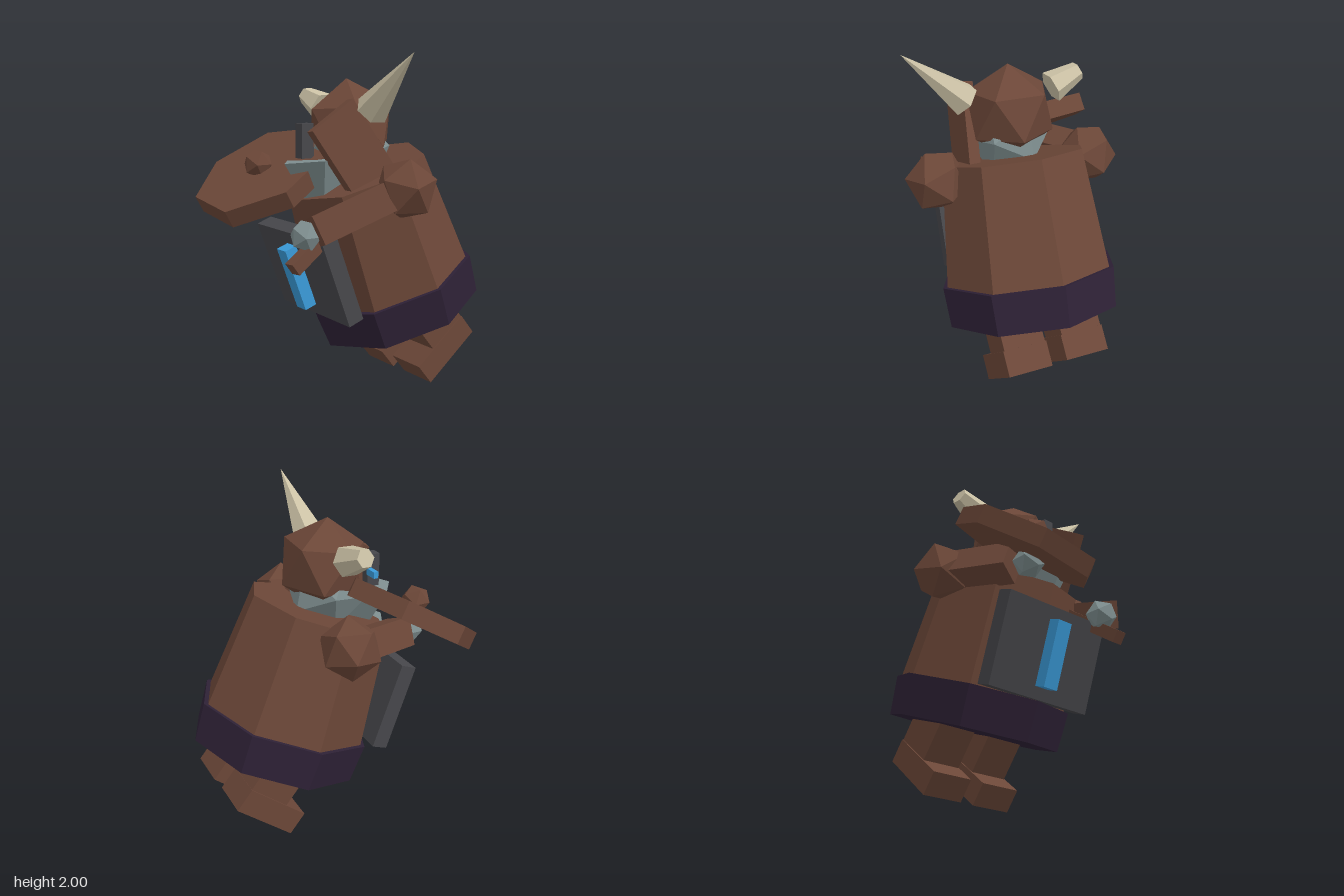
import * as THREE from 'three';

const mat = (name, color) => {
  const m = new THREE.MeshStandardMaterial({ color });
  m.name = name;
  return m;
};
const V = (x, y, z) => new THREE.Vector3(x, y, z);
const UP = V(0, 1, 0);

// Faceted copy of a geometry
function facet(g) {
  const f = g.index ? g.toNonIndexed() : g;
  f.computeVertexNormals();
  return f;
}

export function createModel() {
  const brown = mat('leather brown', 0x6c4738);
  const purple = mat('dark purple', 0x2e2136);
  const iron = mat('dark iron', 0x47474b);
  const blue = mat('bright blue', 0x3a9bd9);
  const grey = mat('grey skin', 0x7f8f90);
  const horn = mat('horn', 0xcbc1a5);

  const model = new THREE.Group();
  model.name = 'hornedWarrior';

  const add = (parent, name, geo, material, p = [0, 0, 0], r = [0, 0, 0]) => {
    const m = new THREE.Mesh(facet(geo), material);
    m.name = name;
    m.position.set(...p);
    m.rotation.set(...r);
    parent.add(m);
    return m;
  };
  const box = (x, y, z) => new THREE.BoxGeometry(x, y, z);
  const tube = (rTop, rBottom, h, n, start = 0) =>
    new THREE.CylinderGeometry(rTop, rBottom, h, n, 1, false, start);
  const rock = (r) => new THREE.IcosahedronGeometry(r, 0);
  // Place a y-aligned geometry between two points
  const between = (name, a, b, makeGeo, material) => {
    const d = b.clone().sub(a);
    const m = add(model, name, makeGeo(d.length()), material);
    m.position.copy(a).addScaledVector(d, 0.5);
    m.quaternion.setFromUnitVectors(UP, d.normalize());
    return m;
  };
  // Orient a mesh by its x and y axes
  const orient = (m, x, y) => {
    y.normalize();
    const z = x.clone().cross(y).normalize();
    m.quaternion.setFromRotationMatrix(new THREE.Matrix4().makeBasis(y.clone().cross(z), y, z));
  };

  // Leaning barrel body with belt and apron plate
  const body = new THREE.Group();
  body.name = 'body';
  body.position.set(0.02, 0.543, -0.28);
  body.rotation.set(0.349, -0.03, 0, 'YXZ');
  model.add(body);
  add(body, 'belt', tube(0.54, 0.525, 0.24, 8), purple);
  add(body, 'torso', tube(0.435, 0.515, 0.72, 8), brown, [0, 0.46, 0]);
  add(body, 'apronPlate', box(0.74, 0.54, 0.1), iron, [-0.005, 0.393, 0.496]);
  add(body, 'apronStripe', box(0.1, 0.39, 0.08), blue, [-0.005, 0.39, 0.582]);

  // Bent legs with long feet
  for (const [side, x] of [['right', -0.165], ['left', 0.205]]) {
    const leg = new THREE.Group();
    leg.name = side + 'Leg';
    leg.position.set(x, 0.194, -0.477);
    leg.rotation.set(0.68, -0.03, 0, 'YXZ');
    model.add(leg);
    add(leg, side + 'Foot', box(0.27, 0.15, 0.43), brown);
    add(leg, side + 'Shin', box(0.255, 0.42, 0.28), brown, [0, 0.28, -0.073]);
  }

  // Head, helmet and face
  add(model, 'head', rock(0.25), grey, [0.02, 1.43, 0.05], [0.2, 0.3, 0]);
  const helmet = rock(0.275).rotateZ(-0.5536).rotateY(-Math.PI / 2);
  add(model, 'helmet', helmet, brown, [0.015, 1.585, 0.03], [0.1, -0.1, 0]);
  add(model, 'noseGuard', box(0.07, 0.2, 0.08), iron, [0, 1.505, 0.342]);
  for (const s of [-1, 1])
    add(model, s < 0 ? 'rightEye' : 'leftEye', box(0.085, 0.04, 0.03), blue, [0.11 * s, 1.52, 0.29]);
  add(model, 'beard', tube(0.21, 0.09, 0.24, 5), grey, [0.04, 1.28, 0.28], [0.08, 0, 0.06]);

  // Whole left horn, broken right horn
  between('leftHorn', V(0.28, 1.68, 0.07), V(0.64, 2.0, 0.06),
    (h) => new THREE.ConeGeometry(0.1, h, 6), horn);
  between('rightHorn', V(-0.255, 1.68, 0.04), V(-0.435, 1.75, 0.05),
    (h) => tube(0.055, 0.095, h, 6), horn);

  // Shoulders, arms and fists
  const arms = [
    ['left', V(0.49, 1.25, -0.01), V(0.35, 1.04, 0.5), V(0.285, 1.01, 0.52)],
    ['right', V(-0.46, 1.25, -0.05), V(-0.3, 1.2, 0.38), V(-0.25, 1.19, 0.46)],
  ];
  for (const [side, shoulder, wrist, fist] of arms) {
    add(model, side + 'Shoulder', rock(0.185), brown, shoulder.toArray(), [0.2, 0.3, 0.2]);
    between(side + 'Arm', shoulder, wrist, (h) => box(0.17, h, 0.17), brown);
    add(model, side + 'Fist', rock(0.095), grey, fist.toArray());
  }

  // Axe held in the left fist
  between('axeHandle', V(0.31, 0.84, 0.625), V(0.27, 1.25, 0.05), (h) => box(0.075, h, 0.075), brown);
  const blade = add(model, 'axeBlade', box(0.065, 0.5, 0.32), brown, [0.25, 1.45, 0.175]);
  orient(blade, V(1, 0.12, 0.08), V(-0.14, 0.84, 0.54));

  // Seven-sided shield with boss on the right fist
  const normal = V(0.1, 0.85, 0.51).normalize();
  const shield = add(model, 'shield', tube(0.43, 0.43, 0.11, 7, Math.PI), brown);
  shield.position.set(-0.25, 1.34, 0.485).addScaledVector(normal, -0.055);
  orient(shield, V(0.99, -0.12, 0), normal.clone());
  add(model, 'shieldBoss', rock(0.09), brown, [-0.248, 1.36, 0.51]);

  return model;
}
